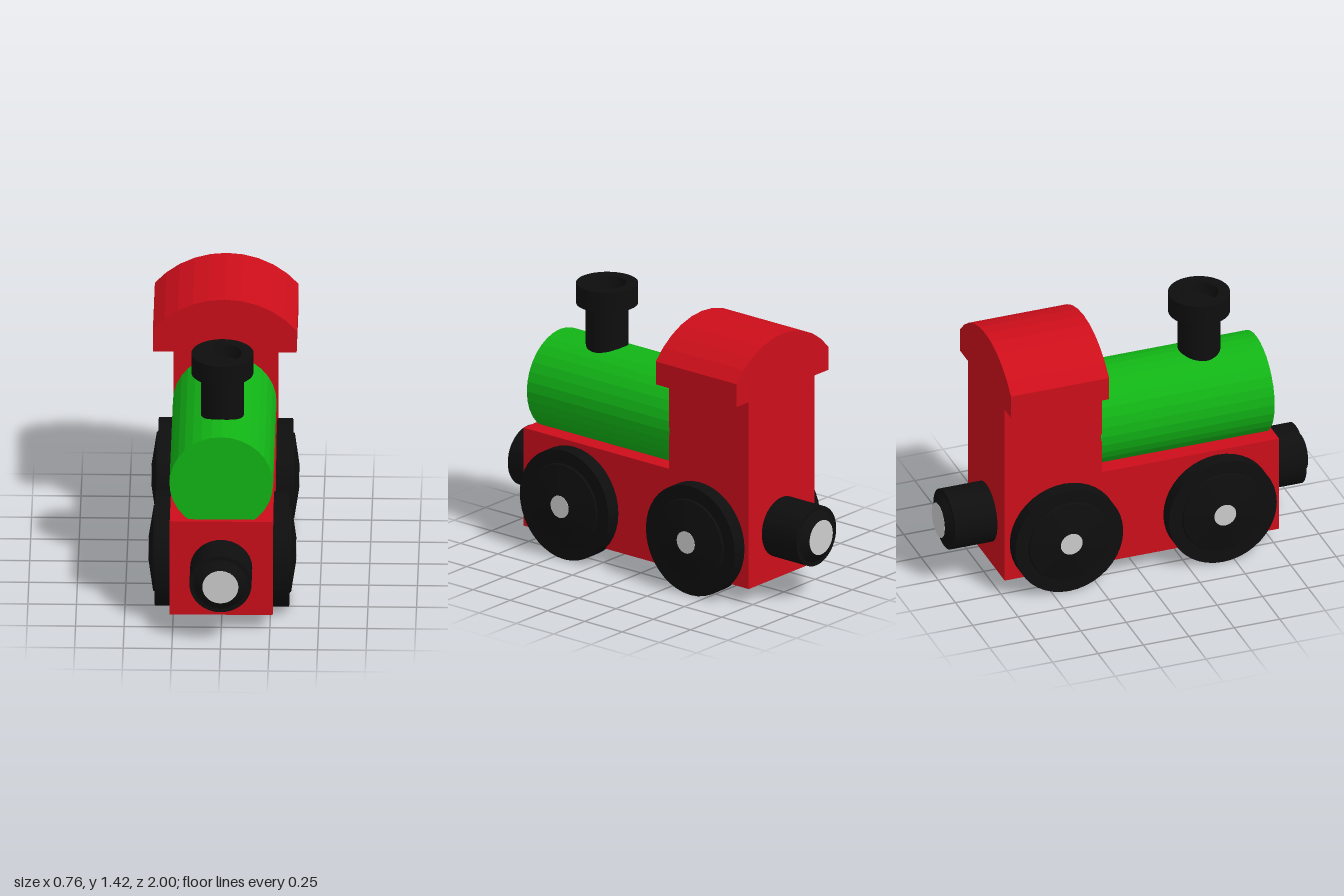
import * as THREE from 'three';

const paint = (color) => new THREE.MeshStandardMaterial({ color, flatShading: true });

export function createModel() {
  const red = paint(0xcc0e1a), green = paint(0x12b416), black = paint(0x0e0e0e), silver = paint(0xcccccc);
  const model = new THREE.Group();
  model.name = 'toyLocomotive';

  const add = (parent, name, geometry, material, x = 0, y = 0, z = 0) => {
    const mesh = new THREE.Mesh(geometry, material);
    mesh.name = name;
    mesh.position.set(x, y, z);
    parent.add(mesh);
    return mesh;
  };
  // Turned part: [radius, height] points from the bottom up
  const turned = (points) => new THREE.LatheGeometry(points.map(([r, h]) => new THREE.Vector2(r, h)), 40);

  // Body: long chassis with the cab standing on its rear
  const side = new THREE.Shape();
  [[-0.735, 0.085], [0.775, 0.085], [0.775, 0.62], [-0.2, 0.62], [-0.2, 1.11], [-0.735, 1.11]]
    .forEach(([z, y], i) => (i ? side.lineTo(-z, y) : side.moveTo(-z, y)));
  const bodyGeometry = new THREE.ExtrudeGeometry(side, { depth: 0.53, bevelEnabled: false });
  bodyGeometry.translate(0, 0, -0.265).rotateY(Math.PI / 2);
  add(model, 'chassisAndCab', bodyGeometry, red);

  // Roof: straight eaves under a shallow arc
  const radius = 0.479, centreY = 0.931;
  const eave = Math.asin(0.37 / radius);
  const roof = new THREE.Shape();
  roof.moveTo(-0.37, 1.11);
  roof.lineTo(0.37, 1.11);
  for (let i = 0; i <= 10; i++) {
    const a = eave * (1 - i / 5);
    roof.lineTo(radius * Math.sin(a), centreY + radius * Math.cos(a));
  }
  add(model, 'roof', new THREE.ExtrudeGeometry(roof, { depth: 0.54, bevelEnabled: false }), red, 0, 0, -0.74);

  // Boiler, sunk into the chassis
  const boiler = new THREE.CylinderGeometry(0.267, 0.267, 0.955, 32).rotateX(Math.PI / 2);
  add(model, 'boiler', boiler, green, 0, 0.825, 0.2725);

  // Chimney with a dished rim
  add(model, 'chimney', turned([
    [0, 1], [0.11, 1], [0.11, 1.31], [0.16, 1.31], [0.16, 1.42], [0.1, 1.42], [0.085, 1.36], [0, 1.36],
  ]), black, 0, 0, 0.435);

  // Wheels: tread, domed face and silver hub
  const tyre = turned([
    [0, 0.245], [0.297, 0.245], [0.297, 0.345], [0.225, 0.345], [0.22, 0.355], [0.06, 0.38], [0, 0.38],
  ]);
  const hub = new THREE.CylinderGeometry(0.06, 0.06, 0.02, 32);
  for (const s of [1, -1]) {
    for (const [end, z] of [['front', 0.435], ['rear', -0.41]]) {
      const wheel = new THREE.Group();
      wheel.name = `${end}${s > 0 ? 'Left' : 'Right'}Wheel`;
      add(wheel, 'tyre', tyre, black);
      add(wheel, 'hub', hub, silver, 0, 0.372);
      wheel.rotation.z = -s * Math.PI / 2;
      wheel.position.set(0, 0.297, z);
      model.add(wheel);
    }
  }

  // Couplings: stepped, chamfered stubs with silver magnets
  const stub = turned([[0, 0.7], [0.16, 0.7], [0.16, 0.967], [0.138, 0.967], [0.095, 0.999], [0, 0.999]]);
  const magnet = new THREE.CylinderGeometry(0.093, 0.093, 0.02, 32);
  for (const s of [1, -1]) {
    const coupling = new THREE.Group();
    coupling.name = s > 0 ? 'frontCoupling' : 'rearCoupling';
    add(coupling, 'stub', stub, black);
    add(coupling, 'magnet', magnet, silver, 0, 0.99);
    coupling.rotation.x = s * Math.PI / 2;
    coupling.position.y = 0.355;
    model.add(coupling);
  }

  return model;
}
